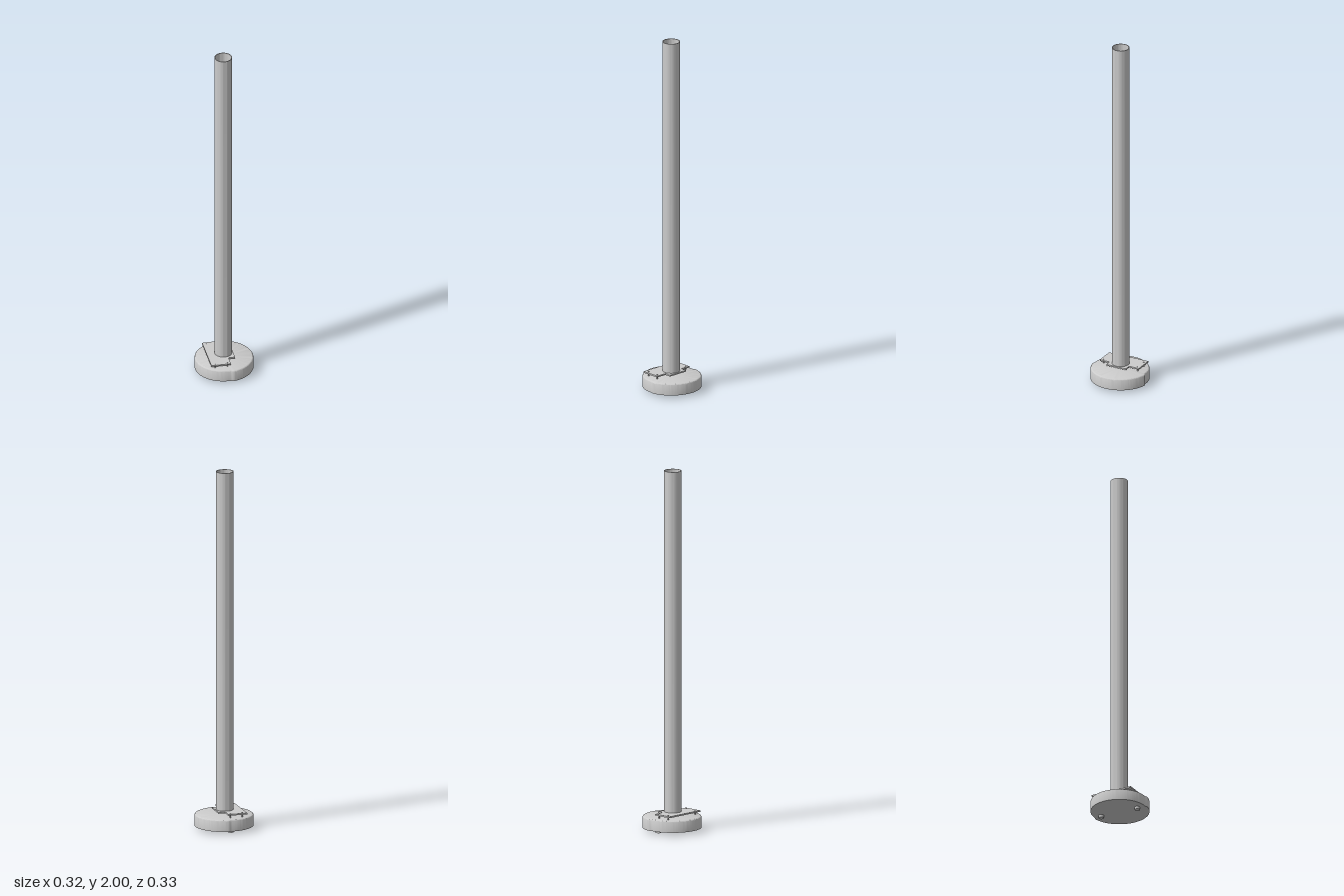
import * as THREE from 'three';
import { toCreasedNormals } from 'three/addons/utils/BufferGeometryUtils.js';

const CX = -0.005; // shared axis of base, plate and tube
const grey = new THREE.MeshStandardMaterial({ color: 0xcccccc });
const V = (x, y) => new THREE.Vector2(x, y);

function add(group, name, geometry, x = 0, y = 0, z = 0) {
  const mesh = new THREE.Mesh(geometry, grey);
  mesh.name = name;
  mesh.position.set(x, y, z);
  group.add(mesh);
  return mesh;
}

// Round base with a softened top edge; its -x half is slightly narrower
function baseGeometry() {
  const R = 0.165, bottom = 0.015, top = 0.08, round = 0.01;
  const profile = [V(0, bottom), V(R, bottom)];
  for (let i = 0; i <= 5; i++) {
    const a = (i / 5) * Math.PI / 2;
    profile.push(V(R - round + round * Math.cos(a), top - round + round * Math.sin(a)));
  }
  profile.push(V(0, top));
  const geometry = new THREE.LatheGeometry(profile, 160);
  const p = geometry.attributes.position;
  for (let i = 0; i < p.count; i++) {
    const x = p.getX(i), z = p.getZ(i), r = Math.hypot(x, z);
    if (r < 0.1) continue;
    const step = THREE.MathUtils.smoothstep(x / r, 0.04, 0.17);
    const k = (r - 0.008 * (1 - step)) / r;
    p.setX(i, x * k);
    p.setZ(i, z * k);
  }
  return toCreasedNormals(geometry, 0.6);
}

// T-shaped mounting plate with a small centre hole
function plateGeometry() {
  const shape = new THREE.Shape([
    V(-0.097, -0.121), V(0.011, -0.121), V(0.011, -0.06), V(0.048, -0.06),
    V(0.048, 0.06), V(0.011, 0.06), V(0.011, 0.121), V(-0.097, 0.121),
  ]);
  const hole = new THREE.Path();
  hole.absarc(CX, 0, 0.0065, 0, Math.PI * 2, true);
  shape.holes.push(hole);
  return new THREE.ExtrudeGeometry(shape, { depth: 0.008, bevelEnabled: false, curveSegments: 24 })
    .rotateX(-Math.PI / 2);
}

// Hollow tube, open at both ends
function tubeGeometry() {
  const outer = 0.048, inner = 0.044, y0 = 0.102, y1 = 2;
  const profile = [V(inner, y0), V(outer, y0), V(outer, y1), V(inner, y1), V(inner, y0)];
  return toCreasedNormals(new THREE.LatheGeometry(profile, 64), 0.6);
}

export function createModel() {
  const model = new THREE.Group();
  model.name = 'post';

  add(model, 'base', baseGeometry(), CX);
  add(model, 'mountingPlate', plateGeometry(), 0, 0.095, 0);
  add(model, 'tube', tubeGeometry(), CX);

  for (const side of [-1, 1]) {
    // Feet under the base
    add(model, 'foot', new THREE.CylinderGeometry(0.015, 0.015, 0.017, 32), CX, 0.0085, side * 0.112);
    // Screws holding the plate above the base
    for (const x of [-0.073, CX]) {
      add(model, 'screw', new THREE.CylinderGeometry(0.004, 0.004, 0.028, 16), x, 0.091, side * 0.106);
    }
  }
  return model;
}
